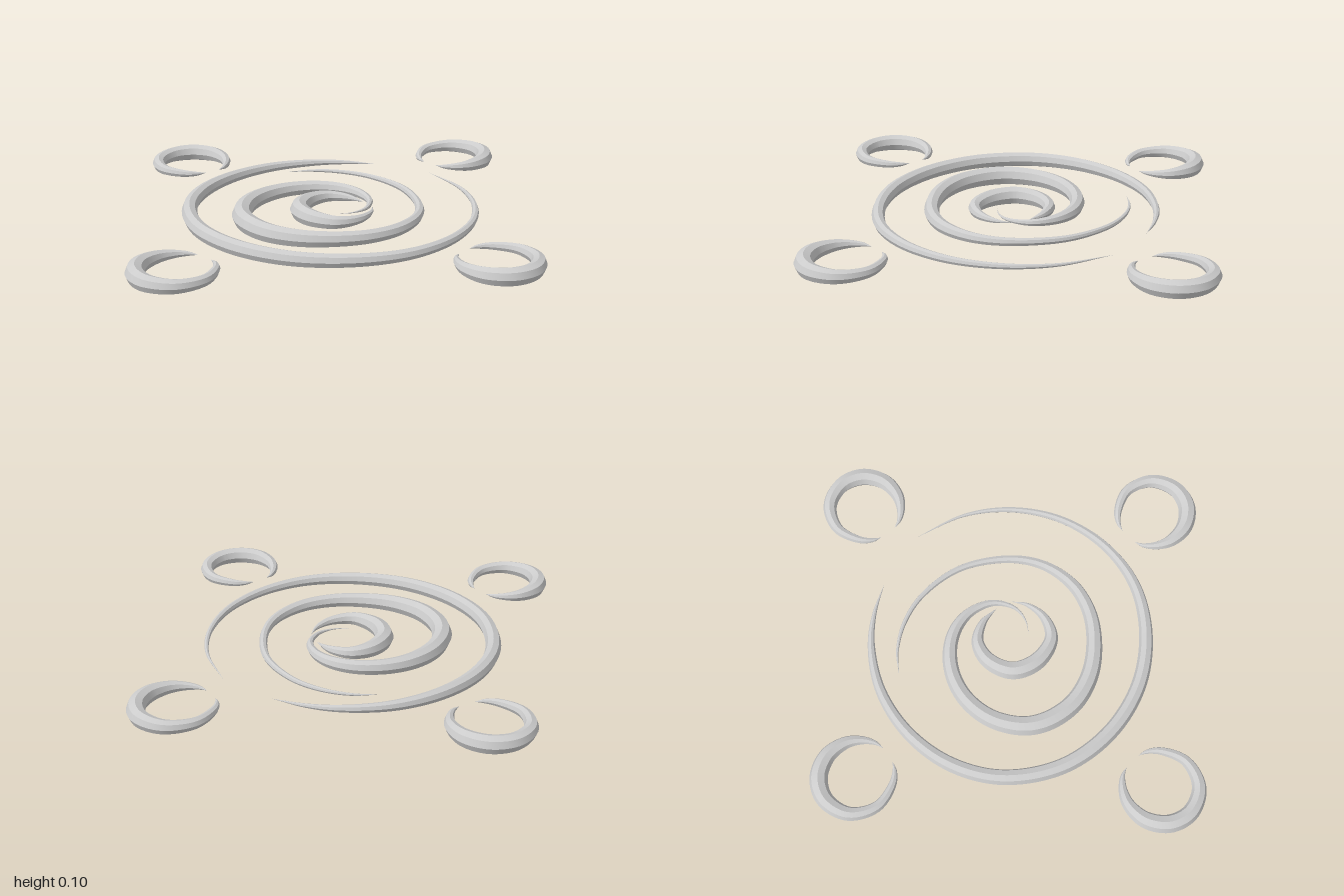
import * as THREE from 'three';
import { toCreasedNormals } from 'three/addons/utils/BufferGeometryUtils.js';

const SIDES = 8;
const MID_Y = 0.055;

// Octagonal tube lying flat, tapering to a point at both ends.
// Stations are [x, z, radius]; the radius rides in the curve's y so it is splined too.
function taperedTube(stations, segments) {
  const curve = new THREE.CatmullRomCurve3(stations.map(([x, z, r]) => new THREE.Vector3(x, r, z)));
  const positions = [], index = [];
  for (let i = 0; i <= segments; i++) {
    const t = i / segments;
    const p = curve.getPoint(t);
    const d = curve.getTangent(t).setY(0).normalize();
    const r = Math.max(p.y, 0.0004);
    for (let j = 0; j < SIDES; j++) {
      const a = (j / SIDES) * Math.PI * 2;
      const out = Math.cos(a) * r;
      positions.push(p.x - d.z * out, MID_Y + Math.sin(a) * r, p.z + d.x * out);
    }
  }
  for (let i = 0; i < segments; i++) {
    for (let j = 0; j < SIDES; j++) {
      const a = i * SIDES + j, b = i * SIDES + (j + 1) % SIDES;
      index.push(a, b, a + SIDES, b, b + SIDES, a + SIDES);
    }
  }
  const geometry = new THREE.BufferGeometry();
  geometry.setAttribute('position', new THREE.Float32BufferAttribute(positions, 3));
  geometry.setIndex(index);
  return toCreasedNormals(geometry, 0.5);
}

// Crescent around the origin, opening towards +x, with a round outer edge.
function crescentStations() {
  const outer = 0.219;
  const profile = [[12, 0], [25, 0.011], [45, 0.02], [85, 0.028], [130, 0.036], [175, 0.043],
    [215, 0.046], [255, 0.043], [290, 0.033], [315, 0.022], [335, 0.011], [348, 0]];
  return profile.map(([deg, r]) => {
    const a = THREE.MathUtils.degToRad(deg);
    const radius = outer - Math.max(r, 0.009);
    return [Math.cos(a) * radius, Math.sin(a) * radius, r];
  });
}

export function createModel() {
  const model = new THREE.Group();
  model.name = 'spiralOrnament';
  const material = new THREE.MeshStandardMaterial({ color: 0xcccccc, side: THREE.DoubleSide });

  const add = (name, geometry) => {
    const mesh = new THREE.Mesh(geometry, material);
    mesh.name = name;
    model.add(mesh);
    return mesh;
  };

  // Large open ring
  add('outerRing', taperedTube([
    [0.317, -0.665, 0], [0.15, -0.71, 0.011], [-0.03, -0.718, 0.019], [-0.27, -0.66, 0.027],
    [-0.49, -0.515, 0.033], [-0.65, -0.3, 0.038], [-0.717, -0.04, 0.04], [-0.66, 0.26, 0.041],
    [-0.485, 0.5, 0.041], [-0.23, 0.655, 0.039], [0.06, 0.7, 0.035], [0.33, 0.645, 0.03],
    [0.55, 0.49, 0.025], [0.7, 0.26, 0.02], [0.754, 0, 0.015], [0.72, -0.25, 0.009],
    [0.588, -0.505, 0],
  ], 160));

  // Middle spiral winding inwards
  add('middleSpiral', taperedTube([
    [-0.184, -0.57, 0], [-0.05, -0.583, 0.007], [0.1, -0.553, 0.011], [0.255, -0.465, 0.014],
    [0.41, -0.27, 0.018], [0.466, -0.01, 0.022], [0.43, 0.175, 0.027], [0.32, 0.325, 0.033],
    [0.17, 0.408, 0.037], [0, 0.432, 0.041], [-0.18, 0.405, 0.046], [-0.33, 0.32, 0.05],
    [-0.425, 0.185, 0.052], [-0.45, 0.06, 0.051], [-0.41, -0.1, 0.048], [-0.31, -0.225, 0.044],
    [-0.18, -0.295, 0.04], [-0.04, -0.312, 0.037], [0.08, -0.28, 0.033], [0.17, -0.205, 0.026],
    [0.217, -0.09, 0.018], [0.19, 0.02, 0.01], [0.125, 0.075, 0.004], [0.04, 0.095, 0],
  ], 180));

  // Central curl
  add('centreCurl', taperedTube([
    [0.185, -0.075, 0], [0.105, -0.145, 0.02], [0, -0.17, 0.032], [-0.1, -0.115, 0.042],
    [-0.155, 0.01, 0.048], [-0.105, 0.135, 0.046], [0.02, 0.21, 0.035], [0.135, 0.175, 0.024],
    [0.205, 0.09, 0.012], [0.225, 0.005, 0],
  ], 90));

  // Corner crescents, each opening towards the centre: [name, x, z, opening angle]
  const crescent = taperedTube(crescentStations(), 80);
  [
    ['backRightCrescent', -0.723, -0.781, 55],
    ['backLeftCrescent', 0.774, -0.787, 140],
    ['frontLeftCrescent', 0.745, 0.77, 225],
    ['frontRightCrescent', -0.778, 0.758, 315],
  ].forEach(([name, x, z, deg]) => {
    const mesh = add(name, crescent);
    mesh.position.set(x, 0, z);
    mesh.rotation.y = -THREE.MathUtils.degToRad(deg);
  });

  return model;
}
